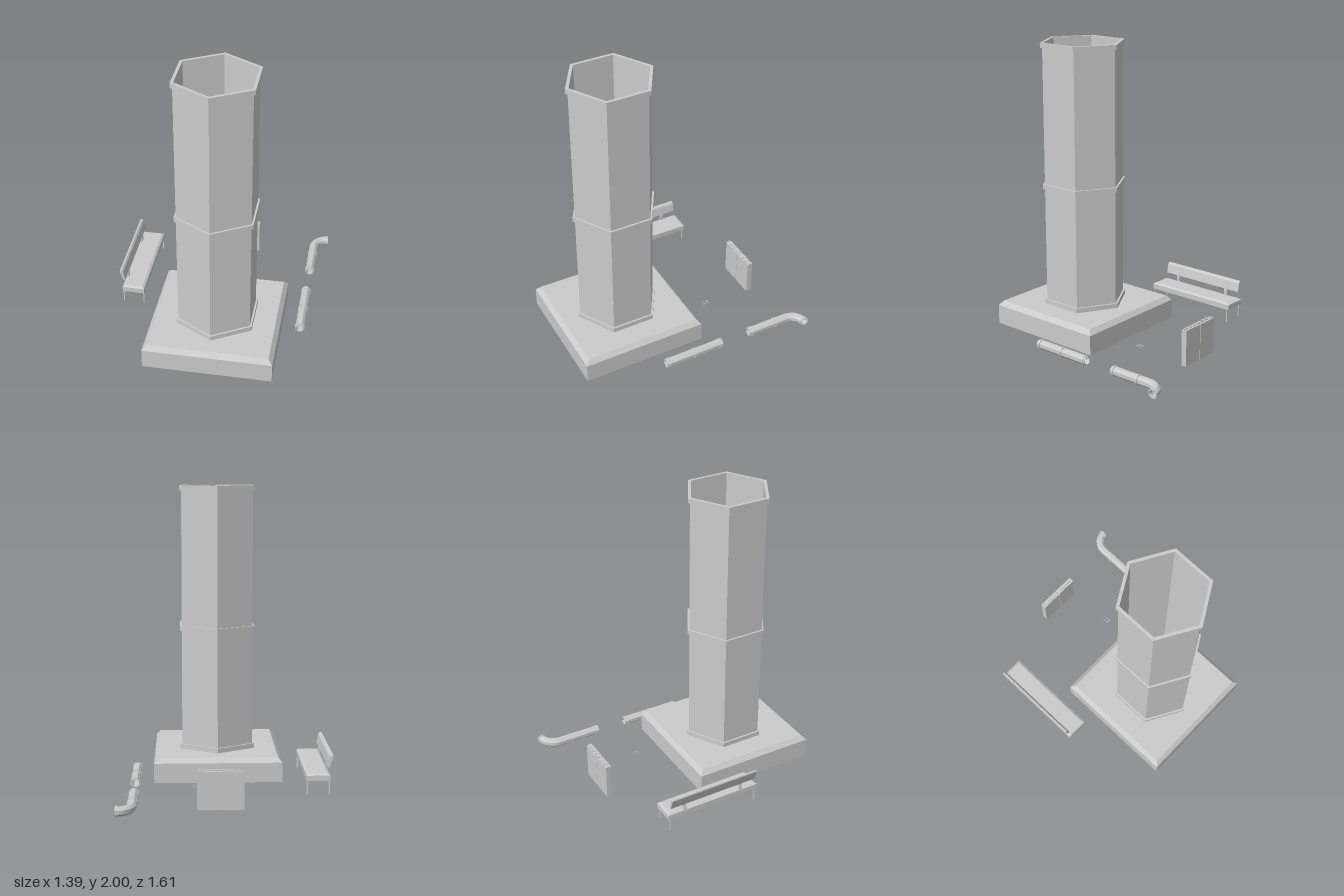
import * as THREE from 'three';

const mat = new THREE.MeshStandardMaterial({ color: 0xcccccc, flatShading: true, side: THREE.DoubleSide });
const solid = new THREE.MeshStandardMaterial({ color: 0xcccccc, flatShading: true });

function add(parent, name, geo, x = 0, y = 0, z = 0, material = mat) {
  const m = new THREE.Mesh(geo, material);
  m.name = name;
  m.position.set(x, y, z);
  parent.add(m);
  return m;
}

function group(parent, name) {
  const g = new THREE.Group();
  g.name = name;
  parent.add(g);
  return g;
}

// Open-bottomed rectangular shell from levels of [halfX, halfZ, y]
function shell(levels) {
  const geo = new THREE.LatheGeometry(levels.map(l => new THREE.Vector2(1, l[2])), 4, Math.PI / 4);
  const p = geo.attributes.position;
  for (let i = 0; i < p.count; i++) {
    const [hx, hz, y] = levels[i % levels.length];
    p.setXYZ(i, Math.sign(p.getX(i)) * hx, y, Math.sign(p.getZ(i)) * hz);
  }
  geo.computeVertexNormals();
  return geo;
}

// Octagon with flat top, optionally bored through
function octagon(r, hole) {
  const pts = rad => Array.from({ length: 8 }, (_, i) => {
    const a = (i + 0.5) * Math.PI / 4;
    return new THREE.Vector2(rad * Math.cos(a), rad * Math.sin(a));
  });
  const s = new THREE.Shape(pts(r));
  if (hole) s.holes.push(new THREE.Path(pts(hole)));
  return s;
}

function sweep(path, r, hole, steps) {
  return new THREE.ExtrudeGeometry(octagon(r, hole), { steps, extrudePath: path });
}

const V = (x, y, z) => new THREE.Vector3(x, y, z);
const PIPE_X = 0.59, PIPE_Y = 0.038, PIPE_R = 0.031;

// Raised band around a pipe between two points
function pipeBand(parent, a, b) {
  add(parent, 'pipeBand', sweep(new THREE.LineCurve3(a, b), PIPE_R + 0.005, PIPE_R - 0.004, 1));
}

function buildTower(root) {
  const tower = group(root, 'tower');
  tower.position.set(0.033, 0, 0.367);
  add(tower, 'plinth', shell([
    [0.434, 0.434, 0.01], [0.434, 0.434, 0.145], [0.406, 0.406, 0.177], [0, 0, 0.177],
  ]));
  // Hexagonal shaft with three collars, hollow inside
  const out = 0.296, wall = 0.281, bore = 0.273;
  const profile = [
    [out, 0.177], [out, 0.21], [wall, 0.21], [wall, 1.007], [out, 1.007], [out, 1.04],
    [wall, 1.04], [wall, 1.967], [out, 1.967], [out, 2], [bore, 2], [bore, 0.02],
  ].map(p => new THREE.Vector2(...p));
  add(tower, 'hexagonalShaft', new THREE.LatheGeometry(profile, 6), 0, 0, 0, solid);
}

function buildBench(root) {
  const bench = group(root, 'bench');
  const cx = -0.598, cz = -0.138;
  add(bench, 'seat', shell([
    [0.077, 0.338, 0.132], [0.077, 0.338, 0.168], [0.062, 0.322, 0.178], [0, 0, 0.178],
  ]), cx, 0, cz);
  for (const sx of [-1, 1]) for (const sz of [-1, 1]) {
    add(bench, 'leg', new THREE.BoxGeometry(0.008, 0.115, 0.008), cx + sx * 0.071, 0.098, cz + sz * 0.322);
  }
  // Leaning backrest with chamfered edges
  const back = new THREE.Shape([
    [-0.672, 0.216], [-0.664, 0.214], [-0.659, 0.222], [-0.671, 0.284],
    [-0.681, 0.295], [-0.694, 0.296], [-0.695, 0.288],
  ].map(p => new THREE.Vector2(...p)));
  add(bench, 'backrest', new THREE.ExtrudeGeometry(back, { depth: 0.638, bevelEnabled: false }), 0, 0, -0.457);
  const bracket = new THREE.Shape([
    [-0.67, 0.165], [-0.656, 0.178], [-0.656, 0.205], [-0.661, 0.24], [-0.668, 0.24], [-0.664, 0.205], [-0.672, 0.178],
  ].map(p => new THREE.Vector2(...p)));
  for (const z of [-0.351, 0.075]) {
    add(bench, 'backBracket', new THREE.ExtrudeGeometry(bracket, { depth: 0.025, bevelEnabled: false }), 0, 0, z - 0.0125);
  }
}

function buildPanel(root) {
  const panel = group(root, 'panel');
  panel.position.set(0.035, 0, -0.625);
  for (const s of [-1, 1]) {
    add(panel, 'panelHalf', new THREE.BoxGeometry(0.147, 0.247, 0.038), s * 0.0755, 0.1235, 0);
  }
  add(panel, 'panelCore', new THREE.BoxGeometry(0.296, 0.24, 0.03), 0, 0.122, 0);
  // Ridges along the top edge
  for (let i = 0; i < 6; i++) {
    add(panel, 'topRidge', new THREE.BoxGeometry(0.008, 0.008, 0.036), (i - 2.5) * 0.043, 0.25, 0);
  }
  add(panel, 'topRail', new THREE.BoxGeometry(0.296, 0.01, 0.008), 0, 0.25, 0);
}

function buildPipes(root) {
  // Straight pipe
  const straight = group(root, 'straightPipe');
  const at = z => V(PIPE_X, PIPE_Y, z);
  add(straight, 'pipe', sweep(new THREE.LineCurve3(at(0.278), at(-0.155)), PIPE_R, PIPE_R * 0.8, 1));
  for (const z of [0.257, 0.06, -0.135]) pipeBand(straight, at(z + 0.005), at(z - 0.005));

  // Pipe with a quarter bend
  const bent = group(root, 'bentPipe');
  add(bent, 'pipe', sweep(new THREE.LineCurve3(at(-0.37), at(-0.675)), PIPE_R, PIPE_R * 0.8, 1));
  const elbow = new THREE.CubicBezierCurve3(at(-0.675), at(-0.73), V(0.635, PIPE_Y, -0.775), V(0.69, PIPE_Y, -0.775));
  add(bent, 'elbow', sweep(elbow, PIPE_R, PIPE_R * 0.8, 7));
  for (const z of [-0.39, -0.587]) pipeBand(bent, at(z + 0.005), at(z - 0.005));
  pipeBand(bent, V(0.675, PIPE_Y, -0.775), V(0.685, PIPE_Y, -0.775));
}

function buildPins(root) {
  // Two tiny pins lying flat
  for (const [x, head] of [[0.178, -0.282], [0.2, -0.241]]) {
    const pin = group(root, 'pin');
    add(pin, 'pinShaft', new THREE.BoxGeometry(0.003, 0.003, 0.05), x, 0.04, -0.262);
    add(pin, 'pinHead', new THREE.SphereGeometry(0.005, 6, 4), x, 0.04, head);
  }
}

export function createModel() {
  const root = new THREE.Group();
  root.name = 'towerAndStreetFurniture';
  buildTower(root);
  buildBench(root);
  buildPanel(root);
  buildPipes(root);
  buildPins(root);
  return root;
}
